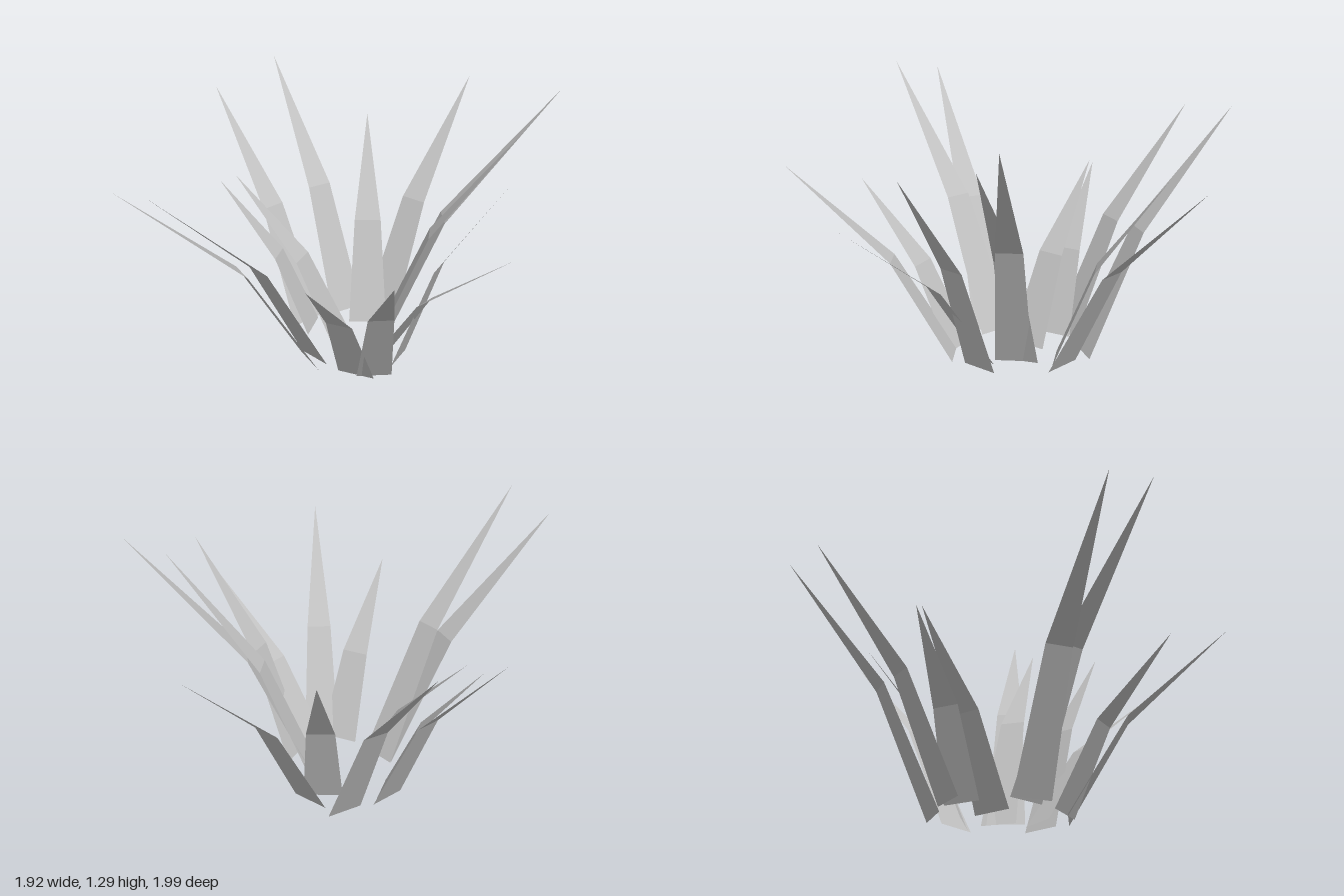
import * as THREE from 'three';

// Each blade: base centre x, z; tip x, y, z; base width
const BLADES = [
  [0.15, -0.065, 0.96, 1.29, -0.14, 0.175],
  [0.145, -0.098, 0.80, 1.15, -0.02, 0.165],
  [0.247, 0.08, 0.715, 1.065, 0.32, 0.17],
  [0.148, 0.08, 0.70, 0.82, 0.58, 0.16],
  [0.13, 0.222, 0.183, 0.92, 0.985, 0.165],
  [0.045, 0.215, -0.167, 0.75, 0.727, 0.18],
  [-0.153, 0.07, -0.79, 1.17, 0.70, 0.17],
  [-0.174, 0.10, -0.96, 1.11, 0.525, 0.18],
  [-0.025, -0.10, -0.53, 0.78, -0.33, 0.18],
  [-0.165, -0.21, -0.605, 0.745, -0.338, 0.17],
  [-0.194, -0.264, -0.65, 1.055, -0.78, 0.17],
  [0.003, -0.37, -0.37, 1.135, -1.0, 0.17],
  [0.107, -0.25, 0.107, 0.92, -0.75, 0.185],
  [0.165, -0.295, 0.63, 1.055, -0.92, 0.18],
];

// Flat blade: a tapering lower strip, then an outward bend into a pointed tip
function bladeGeometry(bx, bz, tx, ty, tz, width) {
  const base = new THREE.Vector3(bx, 0, bz);
  const tip = new THREE.Vector3(tx, ty, tz);
  const bend = base.clone().lerp(tip, 0.37).setY(ty * 0.52);
  const side = new THREE.Vector3(tz - bz, 0, bx - tx).normalize();
  const edge = (centre, w) => [-w / 2, w / 2].map((d) => centre.clone().addScaledVector(side, d));
  const points = [...edge(base, width), ...edge(bend, width * 0.7), tip];
  const geometry = new THREE.BufferGeometry().setFromPoints(points);
  geometry.setIndex([0, 1, 3, 0, 3, 2, 2, 3, 4]);
  const flat = geometry.toNonIndexed();
  flat.computeVertexNormals();
  return flat;
}

export function createModel() {
  const model = new THREE.Group();
  model.name = 'grassTuft';
  const grey = new THREE.MeshStandardMaterial({ color: 0xc0c0c0, side: THREE.DoubleSide, flatShading: true });
  grey.name = 'bladeGrey';
  BLADES.forEach((blade, i) => {
    const mesh = new THREE.Mesh(bladeGeometry(...blade), grey);
    mesh.name = `blade${i + 1}`;
    model.add(mesh);
  });
  return model;
}
